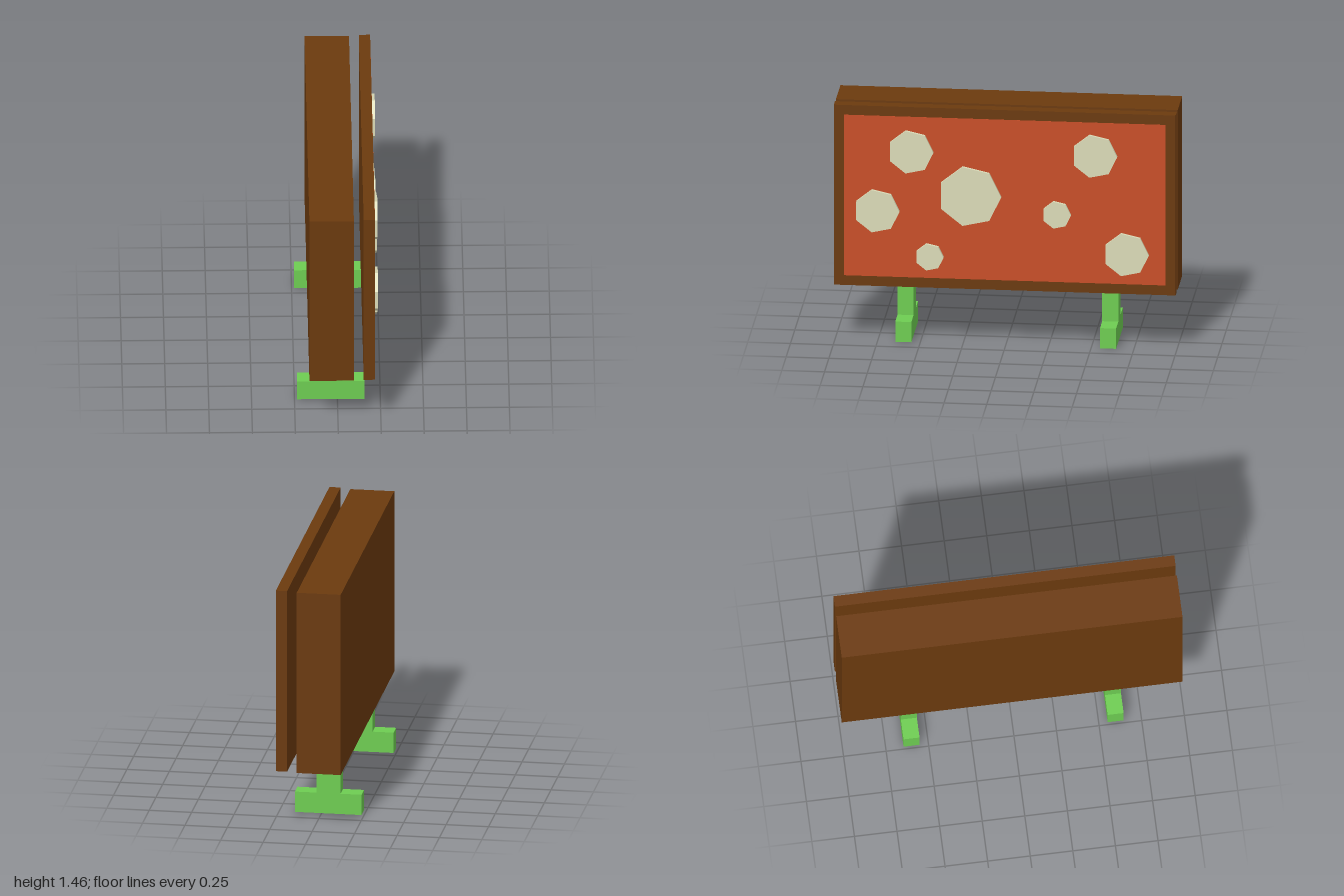
import * as THREE from 'three';

const material = (color) => new THREE.MeshStandardMaterial({ color, flatShading: true });

// Box given by its limits on each axis
function block(name, mat, [x0, x1], [y0, y1], [z0, z1]) {
  const mesh = new THREE.Mesh(new THREE.BoxGeometry(x1 - x0, y1 - y0, z1 - z0), mat);
  mesh.position.set((x0 + x1) / 2, (y0 + y1) / 2, (z0 + z1) / 2);
  mesh.name = name;
  return mesh;
}

export function createModel() {
  const model = new THREE.Group();
  model.name = 'standingBoard';
  const wood = material(0x6b3a0e);
  const green = material(0x6ecd52);
  const red = material(0xc84e28);
  const cream = material(0xdcdcb8);

  // Thick rear case and the thin board standing just off it
  model.add(block('rearCase', wood, [-0.168, 0.091], [0.353, 1.455], [-1, 1]));
  model.add(block('frontBoard', wood, [0.148, 0.214], [0.358, 1.462], [-1, 1]));
  model.add(block('redPanel', red, [0.2, 0.2155], [0.418, 1.403], [-0.941, 0.941]));

  // Seven-sided discs on the panel: z, y, radius
  const discs = [
    [0.204, 0.93, 0.185],
    [0.549, 1.19, 0.133],
    [0.747, 0.822, 0.133],
    [0.439, 0.55, 0.083],
    [-0.527, 1.2, 0.133],
    [-0.305, 0.833, 0.084],
    [-0.712, 0.602, 0.133],
  ];
  const discGroup = new THREE.Group();
  discGroup.name = 'discs';
  for (const [z, y, r] of discs) {
    const geometry = new THREE.CylinderGeometry(r, r, 0.024, 7, 1, false, Math.PI);
    geometry.rotateZ(-Math.PI / 2);
    const disc = new THREE.Mesh(geometry, cream);
    disc.name = 'disc';
    disc.position.set(0.222, y, z);
    discGroup.add(disc);
  }
  model.add(discGroup);

  // Two legs, each an upside-down T extruded along z
  const outline = [
    [-0.235, 0], [0.157, 0], [0.157, 0.124], [0.029, 0.124],
    [0.029, 0.36], [-0.111, 0.36], [-0.111, 0.124], [-0.235, 0.124],
  ];
  const shape = new THREE.Shape(outline.map(([x, y]) => new THREE.Vector2(x, y)));
  const legGeometry = new THREE.ExtrudeGeometry(shape, { depth: 0.094, bevelEnabled: false });
  legGeometry.translate(0, 0, -0.047);
  for (const side of [-1, 1]) {
    const leg = new THREE.Mesh(legGeometry, green);
    leg.name = side > 0 ? 'frontLeg' : 'backLeg';
    leg.position.z = side * 0.599;
    model.add(leg);
  }
  return model;
}
